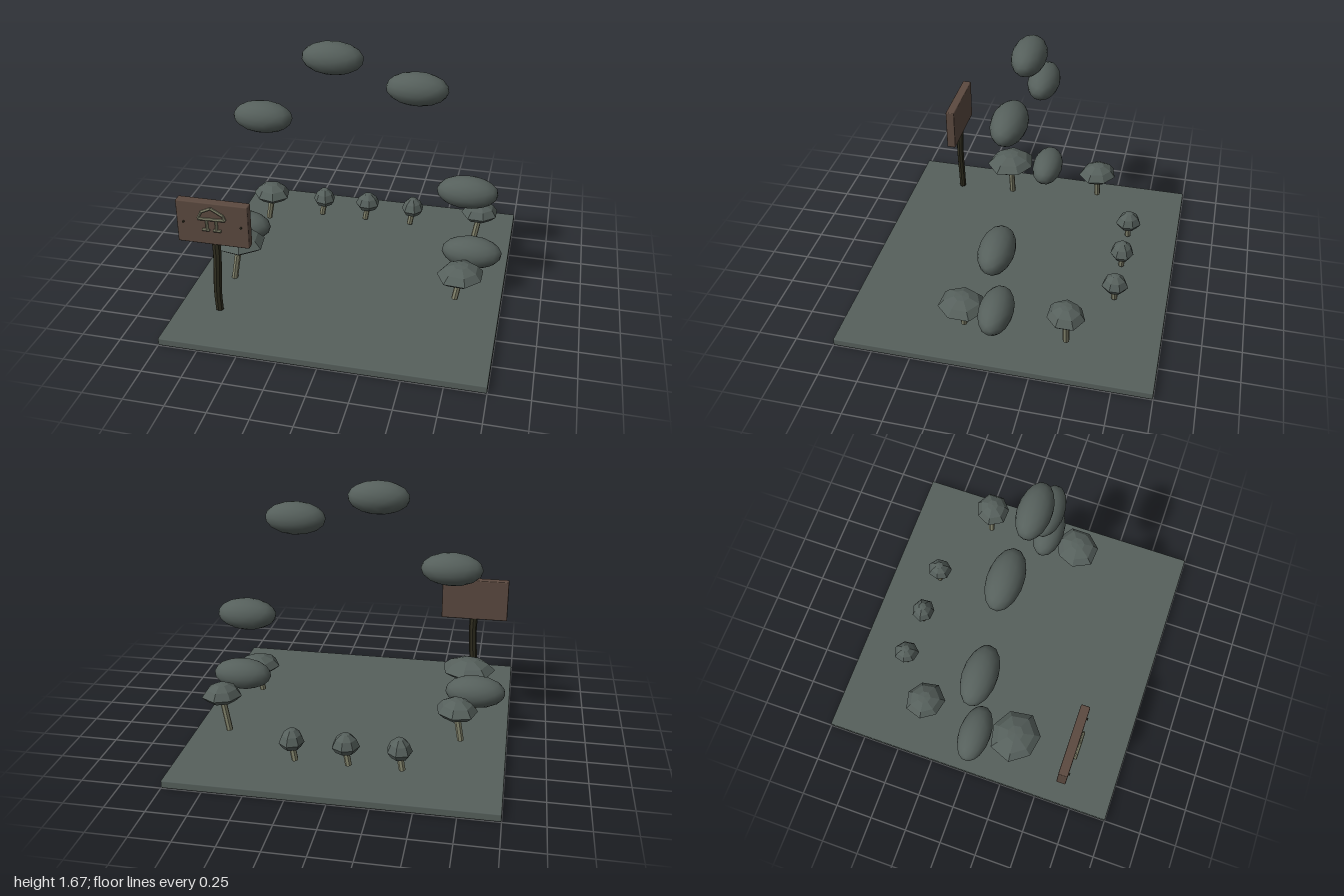
import * as THREE from 'three';
import { RoundedBoxGeometry } from 'three/addons/geometries/RoundedBoxGeometry.js';

const V = (x, y, z) => new THREE.Vector3(x, y, z);

function makeMesh(parent, name, geometry, material, x = 0, y = 0, z = 0) {
  const mesh = new THREE.Mesh(geometry, material);
  mesh.name = name;
  mesh.position.set(x, y, z);
  parent.add(mesh);
  return mesh;
}

// Cylinder running between two points
function rod(parent, name, a, b, r0, r1, sides, material) {
  const mesh = makeMesh(parent, name, new THREE.CylinderGeometry(r1, r0, a.distanceTo(b), sides), material);
  mesh.position.copy(a).add(b).multiplyScalar(0.5);
  mesh.quaternion.setFromUnitVectors(V(0, 1, 0), b.clone().sub(a).normalize());
  return mesh;
}

// Faceted, slightly uneven dome with a tucked-in rim
function capGeometry(radius, height, seed) {
  const profile = [[0, 0], [0.72, 0], [1, 0.3], [0.74, 0.7], [0.32, 0.96], [0, 1]]
    .map(([r, h]) => new THREE.Vector2(r * radius, h * height));
  const geo = new THREE.LatheGeometry(profile, 7, seed);
  const p = geo.attributes.position;
  for (let i = 0; i < p.count; i++) {
    const x = p.getX(i), z = p.getZ(i);
    const k = 1 + 0.06 * Math.sin(2 * Math.atan2(z, x) + seed * 3);
    p.setXYZ(i, x * k, p.getY(i), z * k);
  }
  geo.computeVertexNormals();
  return geo;
}

export function createModel() {
  const model = new THREE.Group();
  model.name = 'mushroomGarden';

  const slate = new THREE.MeshStandardMaterial({ color: 0x56605c });
  slate.name = 'slate green';
  const slateFacet = slate.clone();
  slateFacet.flatShading = true;
  const wood = new THREE.MeshStandardMaterial({ color: 0x5c4a40 });
  wood.name = 'board brown';
  const darkWood = new THREE.MeshStandardMaterial({ color: 0x2f2d1f, flatShading: true });
  darkWood.name = 'post brown';
  const pale = new THREE.MeshStandardMaterial({ color: 0x85866e, flatShading: true });
  pale.name = 'stem beige';

  // Ground slab
  makeMesh(model, 'groundSlab', new RoundedBoxGeometry(2, 0.05, 2, 1, 0.007), slate, 0, 0.025, 0);

  // Floating stones forming an arch
  const stoneGeo = new THREE.IcosahedronGeometry(1, 2);
  const stones = [[-0.78, 0.305], [-0.6, 1.13], [-0.137, 1.565], [0.39, 1.41], [0.73, 0.742], [0.78, 0.305]];
  stones.forEach(([x, y], i) => {
    const stone = new THREE.Group();
    stone.name = 'archStone' + (i + 1);
    stone.position.set(x, y, 0);
    stone.scale.set(0.195, 0.105, 0.107);
    makeMesh(stone, 'stone', stoneGeo, slate).rotation.set(i * 0.7, i * 0.4, i * 1.1);
    model.add(stone);
  });

  // Mushrooms: x, z, cap radius, cap bottom, cap top, stem bottom
  const mushrooms = [
    [-0.715, 0.262, 0.172, 0.305, 0.415, 0.05],
    [0.738, 0.228, 0.152, 0.235, 0.342, 0.085],
    [-0.688, -0.385, 0.13, 0.322, 0.435, 0.155],
    [0.785, -0.43, 0.122, 0.322, 0.435, 0.112],
    [-0.377, -0.66, 0.083, 0.165, 0.285, 0.073],
    [-0.05, -0.66, 0.083, 0.165, 0.285, 0.073],
    [0.282, -0.66, 0.083, 0.165, 0.285, 0.073],
  ];
  mushrooms.forEach(([x, z, r, y0, y1, foot], i) => {
    const mushroom = new THREE.Group();
    mushroom.name = 'mushroom' + (i + 1);
    const top = y0 + 0.02;
    rod(mushroom, 'stem', V(x - (top - foot) * 0.17, foot, z), V(x, top, z), 0.021, 0.021, 7, pale);
    makeMesh(mushroom, 'cap', capGeometry(r, y1 - y0, i * 0.9 + 0.3), slateFacet, x, y0, z);
    model.add(mushroom);
  });

  // Signboard
  const sign = new THREE.Group();
  sign.name = 'sign';
  model.add(sign);
  makeMesh(sign, 'board', new RoundedBoxGeometry(0.455, 0.285, 0.06, 1, 0.007), wood, -0.722, 0.702, 0.645);

  // Gently crooked post
  const postGeo = new THREE.CylinderGeometry(0.028, 0.026, 0.51, 8, 5);
  const pp = postGeo.attributes.position;
  for (let i = 0; i < pp.count; i++) {
    const y = pp.getY(i);
    pp.setX(i, pp.getX(i) + 0.006 * Math.sin(y * 11) + 0.01 * y);
    pp.setZ(i, pp.getZ(i) * 0.9 + 0.004 * Math.cos(y * 9));
  }
  postGeo.computeVertexNormals();
  makeMesh(sign, 'post', postGeo, darkWood, -0.723, 0.32, 0.645);

  // Nails
  for (const x of [-0.905, -0.539]) {
    makeMesh(sign, 'nail', new THREE.CylinderGeometry(0.007, 0.007, 0.012, 8), darkWood, x, 0.702, 0.678)
      .rotation.x = Math.PI / 2;
  }

  // Raised mushroom ornament made of thin rods
  const ornament = new THREE.Group();
  ornament.name = 'mushroomOrnament';
  sign.add(ornament);
  const strokes = [
    [[-0.807, 0.742], [-0.785, 0.785], [-0.722, 0.815], [-0.648, 0.773], [-0.636, 0.742], [-0.807, 0.738]],
    [[-0.752, 0.738], [-0.752, 0.668]],
    [[-0.692, 0.738], [-0.692, 0.668]],
    [[-0.782, 0.666], [-0.738, 0.666]],
    [[-0.712, 0.666], [-0.664, 0.666]],
  ];
  for (const line of strokes) {
    for (let i = 1; i < line.length; i++) {
      rod(ornament, 'ornamentRod', V(...line[i - 1], 0.684), V(...line[i], 0.684), 0.009, 0.009, 6, pale);
    }
  }
  return model;
}
